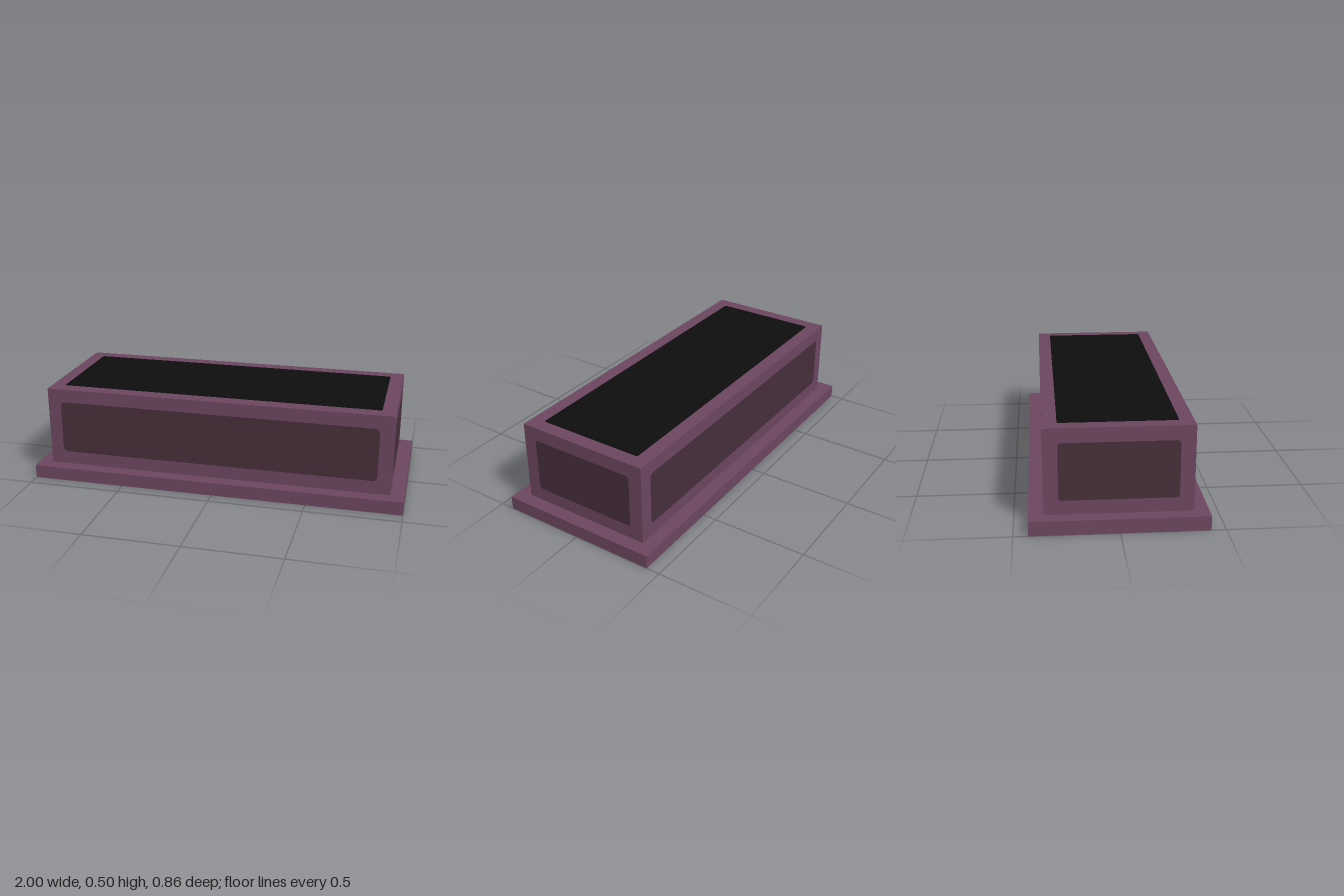
import * as THREE from 'three';

const U = 1 / 14; // border width and base thickness
const LIFT = 0.0015; // how far the inset panels stand off the walls

// Flat rectangle with rounded corners, facing +z
function roundedPanel(w, h, r) {
  const x = w / 2, y = h / 2;
  const s = new THREE.Shape();
  s.moveTo(-x + r, -y);
  s.lineTo(x - r, -y);
  s.absarc(x - r, -y + r, r, -Math.PI / 2, 0);
  s.absarc(x - r, y - r, r, 0, Math.PI / 2);
  s.absarc(-x + r, y - r, r, Math.PI / 2, Math.PI);
  s.absarc(-x + r, -y + r, r, Math.PI, Math.PI * 1.5);
  return new THREE.ShapeGeometry(s, 6);
}

export function createModel() {
  const group = new THREE.Group();
  const material = (name, color) => {
    const m = new THREE.MeshStandardMaterial({ color });
    m.name = name;
    return m;
  };
  const frame = material('plum frame', 0x6b465f);
  const panel = material('dark plum panel', 0x462e3a);
  const soil = material('black filling', 0x0d0d0d);

  const add = (name, geometry, mat, x, y, z) => {
    const mesh = new THREE.Mesh(geometry, mat);
    mesh.name = name;
    mesh.position.set(x, y, z);
    group.add(mesh);
    return mesh;
  };

  // Base slab and the box standing on it
  const width = 26 * U, height = 6 * U, depth = 10 * U;
  const midY = U + height / 2;
  add('base', new THREE.BoxGeometry(28 * U, U, 12 * U), frame, 0, U / 2, 0);
  add('body', new THREE.BoxGeometry(width, height, depth), frame, 0, midY, 0);

  // Long and short wall panels, mirrored
  const longPanel = roundedPanel(width - 2 * U, height - 2 * U, 0.025);
  const shortPanel = roundedPanel(depth - 2 * U, height - 2 * U, 0.015);
  for (const side of [1, -1]) {
    const long = add(side > 0 ? 'frontPanel' : 'backPanel', longPanel, panel,
      0, midY, side * (depth / 2 + LIFT));
    long.rotation.y = side > 0 ? 0 : Math.PI;
    const short = add(side > 0 ? 'leftPanel' : 'rightPanel', shortPanel, panel,
      side * (width / 2 + LIFT), midY, 0);
    short.rotation.y = side * Math.PI / 2;
  }

  // Black top surface
  const top = add('topPanel', roundedPanel(width - 2 * U, depth - 2 * U, 0.012), soil,
    0, U + height + LIFT, 0);
  top.rotation.x = -Math.PI / 2;

  return group;
}
